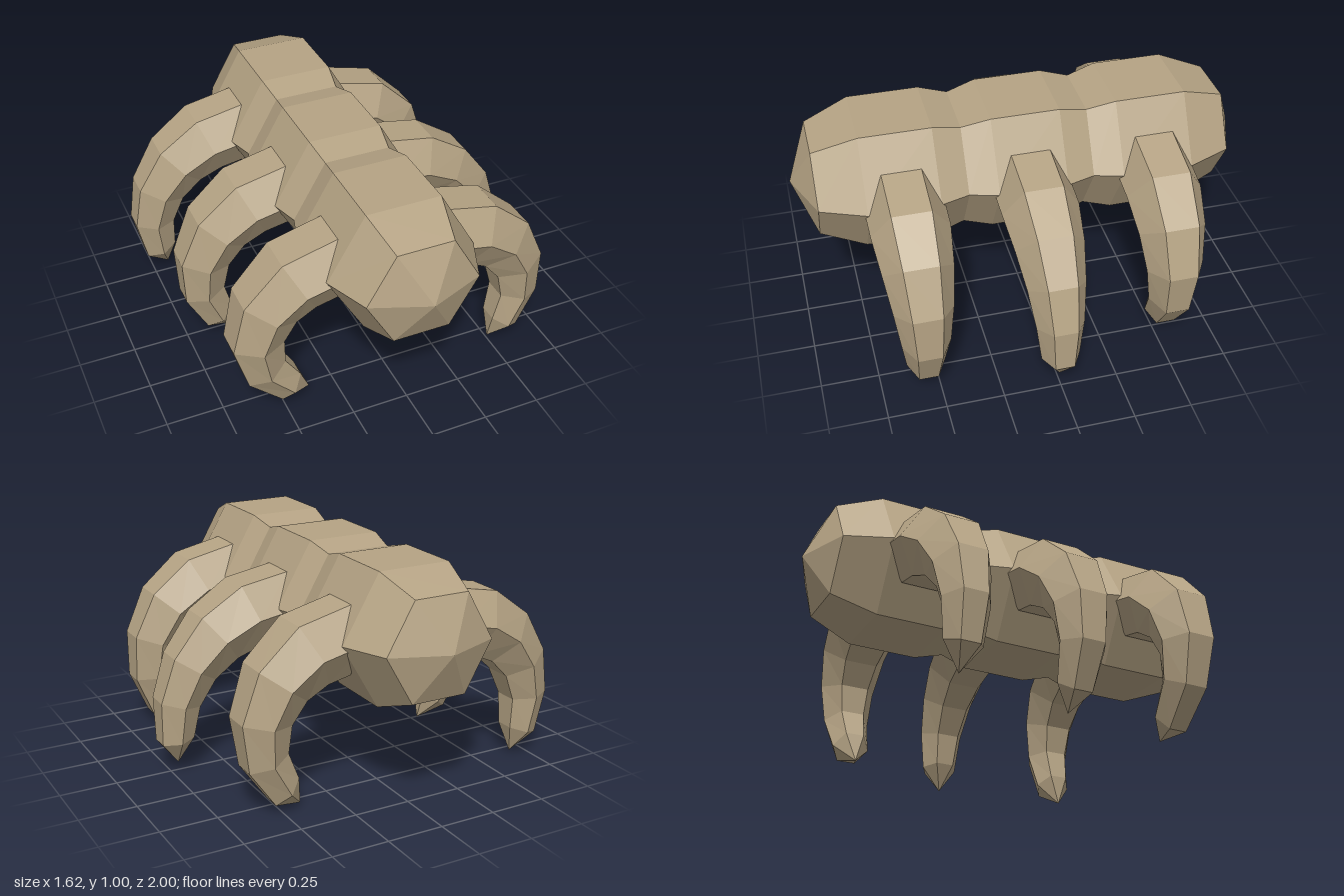
import * as THREE from 'three';

const shell = new THREE.MeshStandardMaterial({ color: 0xb5a384, flatShading: true });
shell.name = 'tan shell';

const CENTRE_X = -0.03;

// Six-sided lathe with corners on the local x axis
function hexLathe(profile) {
  const points = profile.map(([r, y]) => new THREE.Vector2(r, y));
  return new THREE.LatheGeometry(points, 6, Math.PI / 2);
}

function finish(geometry, name) {
  const faceted = geometry.toNonIndexed();
  faceted.computeVertexNormals();
  const mesh = new THREE.Mesh(faceted, shell);
  mesh.name = name;
  return mesh;
}

// Three-segment body with pinched waists and pointed ends
function makeBody() {
  const half = [[0.325, 0.15], [0.288, 0.275], [0.325, 0.4], [0.325, 0.71], [0.245, 0.905], [0, 1]];
  const profile = [...half.map(([r, z]) => [r, -z]).reverse(), ...half];
  const geometry = hexLathe(profile);
  geometry.rotateX(Math.PI / 2);
  const body = finish(geometry, 'body');
  body.position.set(CENTRE_X, 0.724, 0);
  return body;
}

// Tapered leg growing along +x, turning down by "bend" degrees at every ring
function makeLeg(name, bend) {
  const radii = [0.17, 0.168, 0.15, 0.127, 0.105, 0.084];
  const step = THREE.MathUtils.degToRad(bend);
  const stations = [];
  let x = 0, y = 0;
  radii.forEach((r, i) => {
    if (i > 0) {
      x += 0.169 * Math.cos((i - 0.5) * step);
      y -= 0.169 * Math.sin((i - 0.5) * step);
    }
    stations.push({ x, y, angle: -i * step });
  });
  const last = stations[stations.length - 1].angle;
  stations.push({ x: x + 0.115 * Math.cos(last), y: y + 0.115 * Math.sin(last), angle: last });

  // Lathe height is the station number; each ring is moved onto the curve
  const geometry = hexLathe([[0, 0], ...radii.map((r, i) => [r, i]), [0, radii.length]]);
  const p = geometry.attributes.position;
  for (let i = 0; i < p.count; i++) {
    const s = stations[Math.round(p.getY(i))];
    const across = p.getX(i), up = p.getZ(i);
    p.setXYZ(i, s.x - Math.sin(s.angle) * up, s.y + Math.cos(s.angle) * up, across);
  }
  return finish(geometry, name);
}

export function createModel() {
  const model = new THREE.Group();
  model.name = 'creature';
  model.add(makeBody());

  // Each leg curls by its own amount
  const legs = [
    ['frontLeftLeg', 1, 0.55, 24],
    ['middleLeftLeg', 1, -0.003, 19],
    ['backLeftLeg', 1, -0.553, 26.7],
    ['frontRightLeg', -1, 0.55, 29],
    ['middleRightLeg', -1, -0.003, 24.9],
    ['backRightLeg', -1, -0.553, 21.5],
  ];
  for (const [name, side, z, bend] of legs) {
    const leg = makeLeg(name, bend);
    leg.position.set(CENTRE_X + side * 0.245, 0.717, z);
    if (side < 0) leg.rotation.y = Math.PI;
    model.add(leg);
  }
  return model;
}
